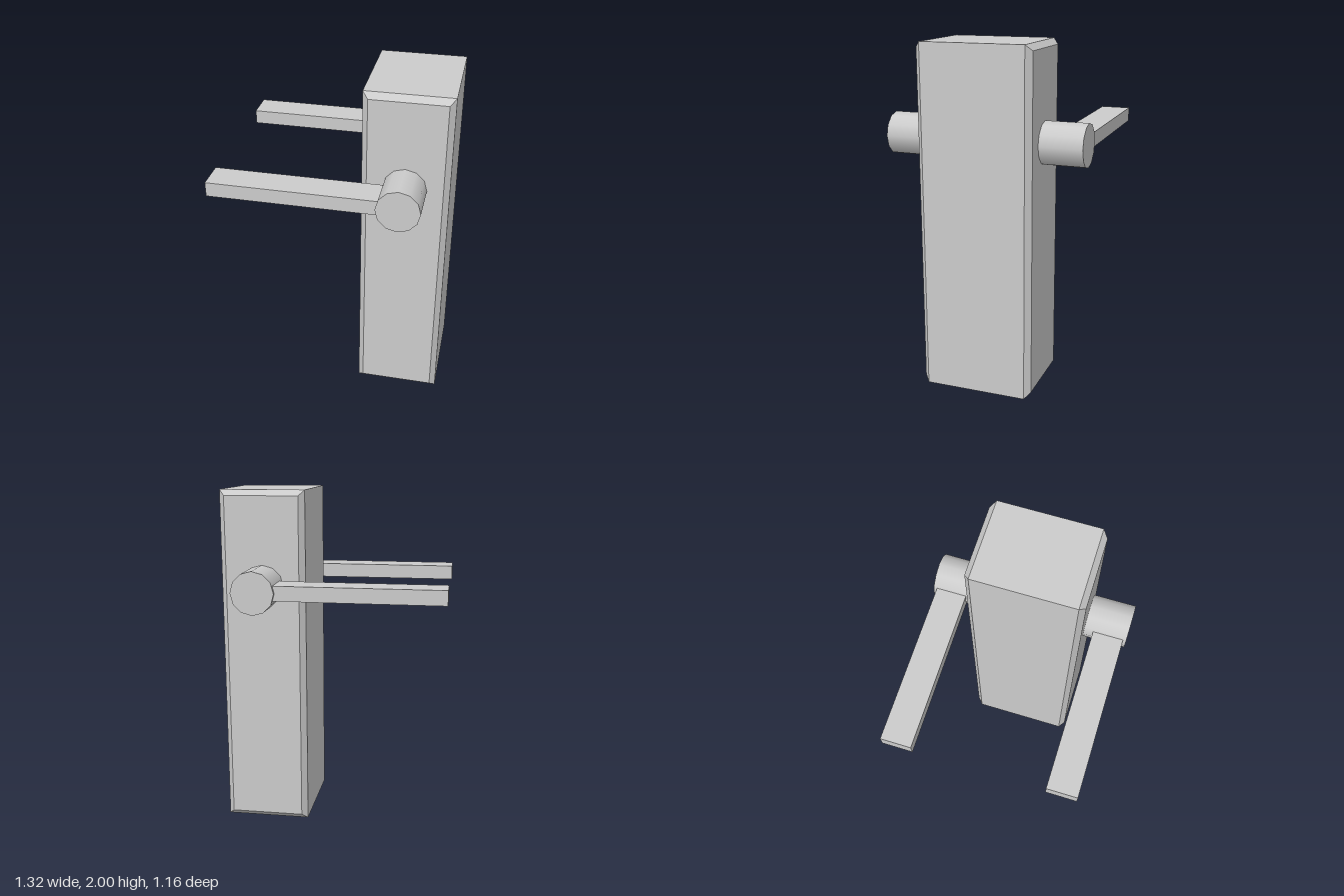
import * as THREE from 'three';

const material = new THREE.MeshStandardMaterial({ color: 0xcccccc });

function addMesh(parent, name, geometry, x, y, z) {
  const mesh = new THREE.Mesh(geometry, material);
  mesh.name = name;
  mesh.position.set(x, y, z);
  parent.add(mesh);
  return mesh;
}

export function createModel() {
  const group = new THREE.Group();
  group.name = 'doorHandle';

  const centreX = 0.413, pivotY = 1.449;
  const width = 0.497, height = 2, depth = 0.664, bevel = 0.033;

  // Lock case: a block with chamfered edges around its front and back faces
  const w = width / 2 - bevel, h = height / 2 - bevel;
  const face = new THREE.Shape([
    new THREE.Vector2(-w, -h), new THREE.Vector2(w, -h),
    new THREE.Vector2(w, h), new THREE.Vector2(-w, h),
  ]);
  const caseGeometry = new THREE.ExtrudeGeometry(face, {
    depth: depth - 2 * bevel, bevelEnabled: true,
    bevelSize: bevel, bevelThickness: bevel, bevelSegments: 1,
  });
  caseGeometry.translate(0, 0, -depth / 2 + bevel);
  addMesh(group, 'lockCase', caseGeometry, centreX, height / 2, 0);

  // Matching spindle and lever on the front and back
  const spindleGeometry = new THREE.CylinderGeometry(0.124, 0.124, 0.25, 12);
  spindleGeometry.rotateX(Math.PI / 2);
  const leverGeometry = new THREE.BoxGeometry(0.972, 0.085, 0.178);

  for (const [side, sign] of [['front', 1], ['back', -1]]) {
    addMesh(group, side + 'Spindle', spindleGeometry, centreX, pivotY, sign * 0.456);
    addMesh(group, side + 'Lever', leverGeometry, -0.176, pivotY, sign * 0.474);
  }

  return group;
}
